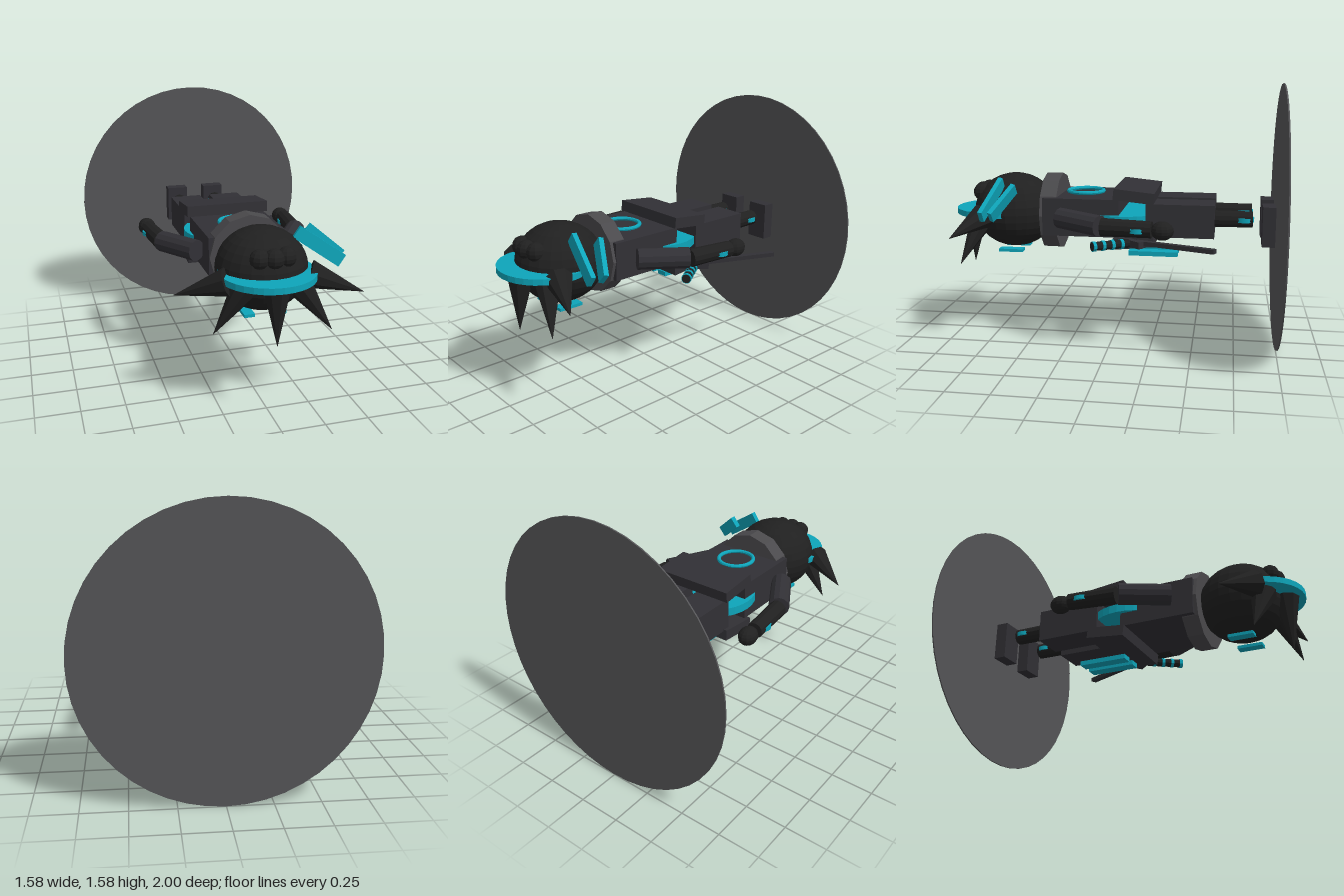
import * as THREE from 'three';

const V = (x, y, z) => new THREE.Vector3(x, y, z);
const mat = (color) => new THREE.MeshStandardMaterial({ color, flatShading: true });

export function createModel() {
  const root = new THREE.Group();
  root.name = 'figure';
  const black = mat(0x202020), cloth = mat(0x313035), grey = mat(0x4a494c);
  const teal = mat(0x0ea5ba), plate = mat(0x555557);

  function add(name, geometry, material, x, y, z, parent = root) {
    const m = new THREE.Mesh(geometry, material);
    m.name = name;
    m.position.set(x, y, z);
    parent.add(m);
    return m;
  }
  const box = (name, w, h, d, material, x, y, z) =>
    add(name, new THREE.BoxGeometry(w, h, d), material, x, y, z);

  // Tapered round part running from a to b
  function rod(name, a, b, ra, rb, material, sides = 12) {
    const m = add(name, new THREE.CylinderGeometry(rb, ra, a.distanceTo(b), sides), material, 0, 0, 0);
    m.position.copy(a).lerp(b, 0.5);
    m.quaternion.setFromUnitVectors(V(0, 1, 0), b.clone().sub(a).normalize());
    return m;
  }
  // Flat bar running from a to b, its thin side facing along the given normal
  function bar(name, a, b, width, thick, normal, material) {
    const dir = b.clone().sub(a).normalize();
    const side = dir.clone().cross(normal).normalize();
    const m = add(name, new THREE.BoxGeometry(width, a.distanceTo(b), thick), material, 0, 0, 0);
    m.position.copy(a).lerp(b, 0.5);
    m.quaternion.setFromRotationMatrix(
      new THREE.Matrix4().makeBasis(side, dir, side.clone().cross(dir)));
    return m;
  }
  const disc = (name, r, h, x, y, z) =>
    add(name, new THREE.CylinderGeometry(r, r, h, 32), teal, x, y, z);

  // Upright base plate behind the feet
  add('basePlate', new THREE.CylinderGeometry(0.79, 0.79, 0.008, 48), plate, 0, 0.79, -0.996).rotation.x = Math.PI / 2;

  // Head, crown tufts and halo
  const head = add('head', new THREE.SphereGeometry(1, 24, 16), black, 0, 0.795, 0.625);
  head.scale.set(0.255, 0.23, 0.255);
  for (const x of [-0.075, 0, 0.07]) {
    add('crownTuft', new THREE.SphereGeometry(0.055, 10, 8), black, x, 0.91, x ? 0.82 : 0.835);
  }
  disc('halo', 0.265, 0.035, 0, 0.795, 0.73);

  // Hair spikes: base, then tip
  const spikes = [
    [V(0, 0.78, 0.885), V(0, 0.45, 0.905)],
    [V(-0.14, 0.76, 0.79), V(-0.31, 0.5, 0.77)],
    [V(0.14, 0.76, 0.8), V(0.31, 0.505, 0.89)],
    [V(-0.235, 0.785, 0.765), V(-0.49, 0.69, 0.64)],
    [V(0.22, 0.785, 0.775), V(0.485, 0.7, 0.89)],
  ];
  for (const [base, tip] of spikes) rod('hairSpike', base, tip, 0.078, 0.001, black, 8);

  // Ribbons on the left of the head
  bar('ribbon', V(0.185, 0.99, 0.66), V(0.43, 0.82, 0.715), 0.075, 0.028, V(0, 0, 1), teal);
  bar('ribbon', V(0.28, 0.97, 0.555), V(0.45, 0.825, 0.65), 0.075, 0.028, V(0, 0, 1), teal);

  // Torso, collar, chest ring and belt disc
  box('torso', 0.47, 0.225, 0.46, cloth, 0, 0.795, 0.17);
  add('collar', new THREE.CylinderGeometry(0.235, 0.235, 0.1, 12), grey, 0, 0.795, 0.37).rotation.x = Math.PI / 2;
  add('chestRing', new THREE.TorusGeometry(0.108, 0.012, 8, 32), teal, 0, 0.923, 0.175).rotation.x = Math.PI / 2;
  disc('beltDisc', 0.265, 0.05, 0, 0.79, -0.07);

  // Front and back coat flaps
  for (const s of [1, -1]) {
    const flap = box('coatFlap', 0.51, 0.065, 0.24, cloth, 0, 0.795 + s * 0.137, -0.15);
    flap.rotation.x = -s * 0.1;
  }

  for (const s of [1, -1]) {
    // Legs
    box('thigh', 0.2, 0.195, 0.4, cloth, s * 0.133, 0.79, -0.42);
    rod('shin', V(s * 0.13, 0.795, -0.6), V(s * 0.13, 0.795, -0.84), 0.05, 0.048, black);
    disc('ankleDisc', 0.058, 0.025, s * 0.13, 0.795, -0.79);
    box('foot', 0.137, 0.235, 0.075, cloth, s * 0.13, 0.763, -0.932);

    // Arms
    rod('upperArm', V(s * 0.275, 0.8, 0.28), V(s * 0.425, 0.79, 0.02), 0.062, 0.062, cloth);
    rod('forearm', V(s * 0.425, 0.785, 0.01), V(s * 0.457, 0.785, -0.28), 0.053, 0.048, black);
    disc('wristDisc', 0.058, 0.025, s * 0.448, 0.78, -0.2);
    add('hand', new THREE.SphereGeometry(0.054, 12, 10), black, s * 0.455, 0.78, -0.338).scale.z = 1.2;

    // Strips behind the head and behind the coat
    box('headStrip', 0.06, 0.018, 0.15, teal, s * 0.09, 0.552, 0.635);
    box('coatStrip', 0.07, 0.028, 0.3, teal, s * 0.055, 0.555, -0.25);
  }

  // Sword with ringed grip, guard and blade
  const gripA = V(0.315, 0.67, -0.13), gripB = V(0.45, 0.675, 0.06);
  rod('grip', gripA, gripB, 0.026, 0.026, black, 10);
  for (const t of [0.2, 0.45, 0.7, 0.95]) {
    rod('gripRing', gripA.clone().lerp(gripB, t - 0.04), gripA.clone().lerp(gripB, t + 0.04), 0.03, 0.03, teal, 10);
  }
  bar('guard', V(0.265, 0.67, -0.1), V(0.36, 0.67, -0.21), 0.04, 0.04, V(0, 1, 0), cloth);
  bar('blade', V(0.28, 0.67, -0.17), V(0.505, 0.685, -0.63), 0.036, 0.025, V(0, 1, 0), cloth);

  return root;
}
